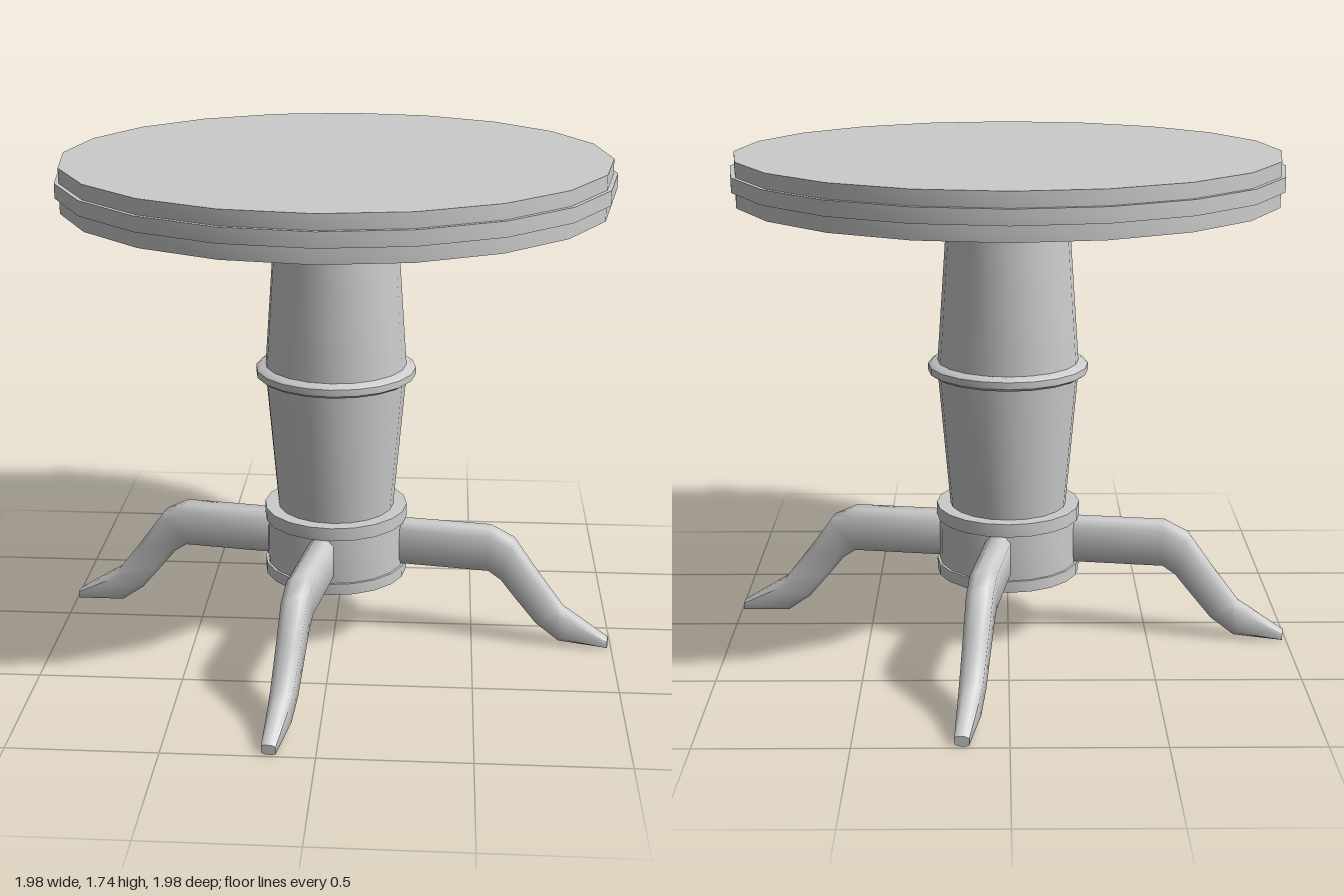
import * as THREE from 'three';
import { toCreasedNormals } from 'three/addons/utils/BufferGeometryUtils.js';

const material = new THREE.MeshStandardMaterial({ color: 0xcccccc });
const SIDES = 20;

function addPart(parent, name, geometry, crease = 0.6) {
  const mesh = new THREE.Mesh(toCreasedNormals(geometry, crease), material);
  mesh.name = name;
  parent.add(mesh);
  return mesh;
}

// Turned part: [radius, height] pairs from bottom to top, closed on the axis
function turned(points) {
  const closed = [[0, points[0][1]], ...points, [0, points[points.length - 1][1]]];
  return new THREE.LatheGeometry(closed.map(([r, y]) => new THREE.Vector2(r, y)), SIDES);
}

// Leg along +x: bevelled rectangular sections lofted between top and bottom lines
function legGeometry() {
  // [top x, top y, bottom x, bottom y, half width]
  const stations = [
    [0.15, 0.428, 0.15, 0.265, 0.045],
    [0.565, 0.428, 0.565, 0.265, 0.045],
    [0.65, 0.387, 0.61, 0.235, 0.045],
    [0.74, 0.262, 0.675, 0.155, 0.042],
    [0.835, 0.138, 0.742, 0.075, 0.039],
    [0.88, 0.11, 0.825, 0.014, 0.035],
    [1.0, 0.034, 1.0, 0.0, 0.024],
  ];
  // Section outline: [across, up] as fractions of the half width and height
  const outline = [
    [0.5, 0], [1, 0.15], [1, 0.85], [0.5, 1],
    [-0.5, 1], [-1, 0.85], [-1, 0.15], [-0.5, 0],
  ];
  const n = outline.length;
  const position = [];
  const index = [];
  for (const [tx, ty, bx, by, w] of stations) {
    for (const [u, v] of outline) {
      position.push(bx + (tx - bx) * v, by + (ty - by) * v, u * w);
    }
  }
  for (let s = 0; s < stations.length - 1; s++) {
    for (let i = 0; i < n; i++) {
      const a = s * n + i;
      const b = s * n + (i + 1) % n;
      index.push(a, a + n, b, b, a + n, b + n);
    }
  }
  // End caps
  const last = (stations.length - 1) * n;
  for (let i = 1; i < n - 1; i++) {
    index.push(0, i, i + 1, last, last + i + 1, last + i);
  }
  const geometry = new THREE.BufferGeometry();
  geometry.setAttribute('position', new THREE.Float32BufferAttribute(position, 3));
  geometry.setIndex(index);
  // Make sure the faces point outwards
  let volume = 0;
  const p = [0, 1, 2].map(() => new THREE.Vector3());
  for (let i = 0; i < index.length; i += 3) {
    p.forEach((v, k) => v.fromArray(position, index[i + k] * 3));
    volume += p[0].dot(p[1].clone().cross(p[2]));
  }
  if (volume < 0) geometry.setIndex(index.slice().reverse());
  return geometry;
}

export function createModel() {
  const table = new THREE.Group();
  table.name = 'pedestalTable';

  // Top with a raised band around its rim
  addPart(table, 'tableTop', turned([
    [0.94, 1.588], [0.94, 1.64], [0.955, 1.64], [0.955, 1.69], [0.94, 1.69], [0.94, 1.74],
  ]));

  // Column, widest at the middle, with a moulded ring
  addPart(table, 'lowerColumn', turned([[0.208, 0.47], [0.25, 0.965]]));
  addPart(table, 'upperColumn', turned([[0.25, 0.995], [0.208, 1.59]]));
  addPart(table, 'columnRing', turned([
    [0.267, 0.957], [0.283, 0.968], [0.283, 0.992], [0.267, 1.004],
  ]), 0.9);

  // Hub between two flanges
  addPart(table, 'hub', turned([
    [0.257, 0.222], [0.257, 0.263], [0.248, 0.263],
    [0.248, 0.428], [0.257, 0.428], [0.257, 0.475],
  ]));

  // Four legs, turned slightly off the main axes
  const leg = legGeometry();
  for (let i = 0; i < 4; i++) {
    const mesh = addPart(table, 'leg' + (i + 1), leg, 0.9);
    mesh.rotation.y = -0.152 - i * Math.PI / 2;
  }

  return table;
}
